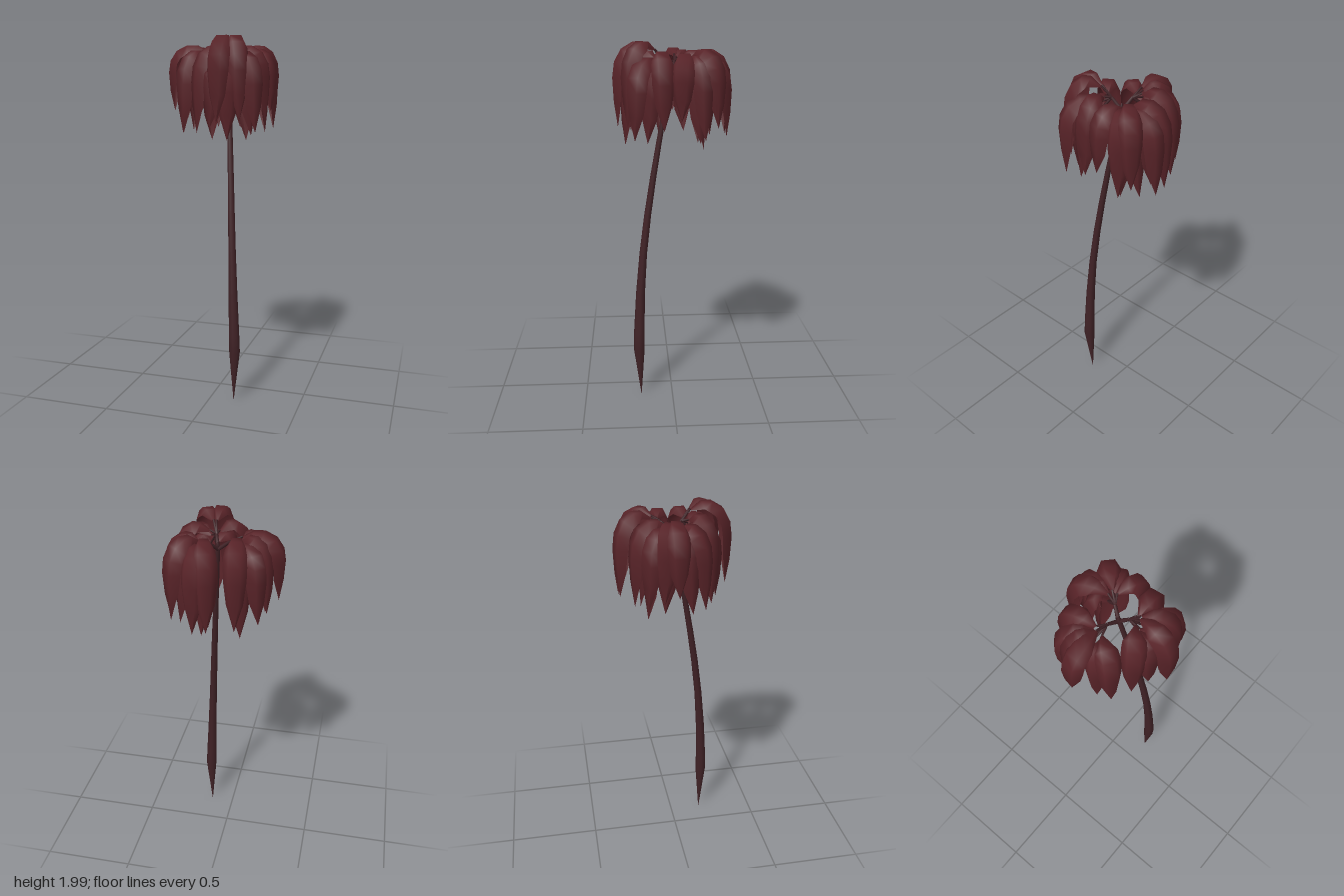
import * as THREE from 'three';

const leafMaterial = new THREE.MeshStandardMaterial({ color: 0x582328, side: THREE.DoubleSide });
const woodMaterial = new THREE.MeshStandardMaterial({ color: 0x402226 });

// Along the leaf: share of the reach, share of the drop, width
const LEAF_ROWS = [
  [0, 0.1, 0.02], [0.25, 0.01, 0.08], [0.5, 0.01, 0.108], [0.78, 0.09, 0.118],
  [0.95, 0.24, 0.118], [1, 0.42, 0.115], [0.97, 0.7, 0.085], [0.88, 1, 0.001],
];
// Across the leaf: side position and inward fold, in leaf widths
const LEAF_SECTION = [[-0.5, 0.48], [-0.26, 0.03], [0.26, 0.03], [0.5, 0.48]];

const HUB_RADIUS = 0.025; // leaves start on a small ring around the clump's hub
const LOW_TOP = 1.88; // top of the leaves hanging beneath the others

// Clumps: fork [x, y, z], hub [x, z], upper leaves [endX, endZ, topY, tipY], lower leaves [endX, endZ, tipY]
const CLUMPS = [
  {
    fork: [-0.02, 1.89, -0.02], hub: [-0.06, -0.022],
    upper: [
      [-0.085, -0.25, 1.95, 1.5], [-0.21, -0.185, 1.92, 1.52], [-0.245, -0.1, 1.95, 1.55],
      [-0.302, -0.025, 1.96, 1.6], [-0.185, 0.15, 1.93, 1.49],
    ],
    lower: [[-0.105, -0.175, 1.43], [-0.2, -0.09, 1.49], [-0.21, 0.07, 1.48]],
  },
  {
    fork: [0.08, 1.89, -0.055], hub: [0.1, -0.085],
    upper: [
      [0.042, -0.312, 1.96, 1.51], [0.12, -0.315, 1.93, 1.5], [0.255, -0.25, 1.96, 1.56],
      [0.278, -0.175, 1.93, 1.5], [0.295, -0.035, 1.94, 1.6],
    ],
    lower: [[0.1, -0.18, 1.43], [0.05, -0.22, 1.5], [0.23, -0.15, 1.48]],
  },
  {
    fork: [0.062, 1.9, 0.045], hub: [0.075, 0.07],
    upper: [
      [0.287, 0.045, 1.95, 1.55], [0.185, 0.255, 2, 1.56], [0.063, 0.314, 2, 1.55],
      [-0.095, 0.195, 1.95, 1.49], [0.27, 0.215, 1.92, 1.5],
    ],
    lower: [[0.115, 0.27, 1.46], [0.225, 0.14, 1.48], [0, 0.235, 1.52]],
  },
];

function indexedGeometry(positions, index) {
  const geometry = new THREE.BufferGeometry();
  geometry.setAttribute('position', new THREE.Float32BufferAttribute(positions, 3));
  geometry.setIndex(index);
  geometry.computeVertexNormals();
  return geometry;
}

// Arched leaf that grows outward, bends over and hangs down to a point
function leafGeometry(base, end, topY, tipY) {
  const reach = base.distanceTo(end);
  const d = end.clone().sub(base).normalize();
  const path = LEAF_ROWS.map(([f, h]) => new THREE.Vector2(f * reach, topY - h * (topY - tipY)));
  const positions = [], index = [], n = LEAF_SECTION.length;
  LEAF_ROWS.forEach(([, , width], i) => {
    const before = path[Math.max(i - 1, 0)];
    const after = path[Math.min(i + 1, path.length - 1)];
    const t = after.clone().sub(before).normalize();
    for (const [side, fold] of LEAF_SECTION) {
      const r = path[i].x + t.y * fold * width;
      const y = path[i].y - t.x * fold * width;
      const s = side * width;
      positions.push(base.x + d.x * r - d.y * s, y, base.y + d.y * r + d.x * s);
    }
    if (i === 0) return;
    for (let j = 0; j < n - 1; j++) {
      const a = (i - 1) * n + j, b = i * n + j;
      index.push(a, a + 1, b, a + 1, b + 1, b);
    }
  });
  return indexedGeometry(positions, index);
}

// Tapering round limb; each station is [x, y, z, radius]
function limb(name, stations, sides) {
  const positions = [], index = [];
  stations.forEach(([x, y, z, radius], i) => {
    const p = stations[Math.max(i - 1, 0)], q = stations[Math.min(i + 1, stations.length - 1)];
    const t = new THREE.Vector3(q[0] - p[0], q[1] - p[1], q[2] - p[2]).normalize();
    const u = new THREE.Vector3(0, 0, 1).cross(t).normalize();
    const v = t.clone().cross(u);
    for (let j = 0; j < sides; j++) {
      const a = (j / sides) * Math.PI * 2, c = Math.cos(a) * radius, s = Math.sin(a) * radius;
      positions.push(x + u.x * c + v.x * s, y + u.y * c + v.y * s, z + u.z * c + v.z * s);
      if (i === 0) continue;
      const k = (j + 1) % sides, lo = (i - 1) * sides, hi = i * sides;
      index.push(lo + j, lo + k, hi + j, lo + k, hi + k, hi + j);
    }
  });
  const mesh = new THREE.Mesh(indexedGeometry(positions, index), woodMaterial);
  mesh.name = name;
  return mesh;
}

export function createModel() {
  const model = new THREE.Group();
  model.name = 'droopingPlant';

  // Curved trunk with a pointed root
  model.add(limb('trunk', [
    [0.133, 0, 0.18, 0.001], [0.14, 0.29, 0.19, 0.031], [0.137, 0.38, 0.189, 0.03],
    [0.127, 0.62, 0.179, 0.025], [0.116, 0.85, 0.161, 0.021], [0.103, 1.07, 0.134, 0.019],
    [0.09, 1.27, 0.103, 0.017], [0.076, 1.46, 0.07, 0.015], [0.062, 1.64, 0.037, 0.013],
    [0.045, 1.86, -0.005, 0.012], [0.045, 1.88, -0.007, 0.001],
  ], 8));

  for (const { fork, hub, upper, lower } of CLUMPS) {
    const clump = new THREE.Group();
    clump.name = 'leafClump';
    clump.add(limb('branch', [[0.045, 1.84, -0.005, 0.011], [...fork, 0.008]], 6));
    const leaves = [...upper, ...lower.map(([x, z, tipY]) => [x, z, LOW_TOP, tipY])];
    for (const [x, z, topY, tipY] of leaves) {
      const centre = new THREE.Vector2(...hub), end = new THREE.Vector2(x, z);
      const base = end.clone().sub(centre).setLength(HUB_RADIUS).add(centre);
      const baseY = topY - LEAF_ROWS[0][1] * (topY - tipY);
      clump.add(limb('leafStalk', [[...fork, 0.007], [base.x, baseY, base.y, 0.005]], 5));
      const leaf = new THREE.Mesh(leafGeometry(base, end, topY, tipY), leafMaterial);
      leaf.name = 'leaf';
      clump.add(leaf);
    }
    model.add(clump);
  }
  return model;
}
